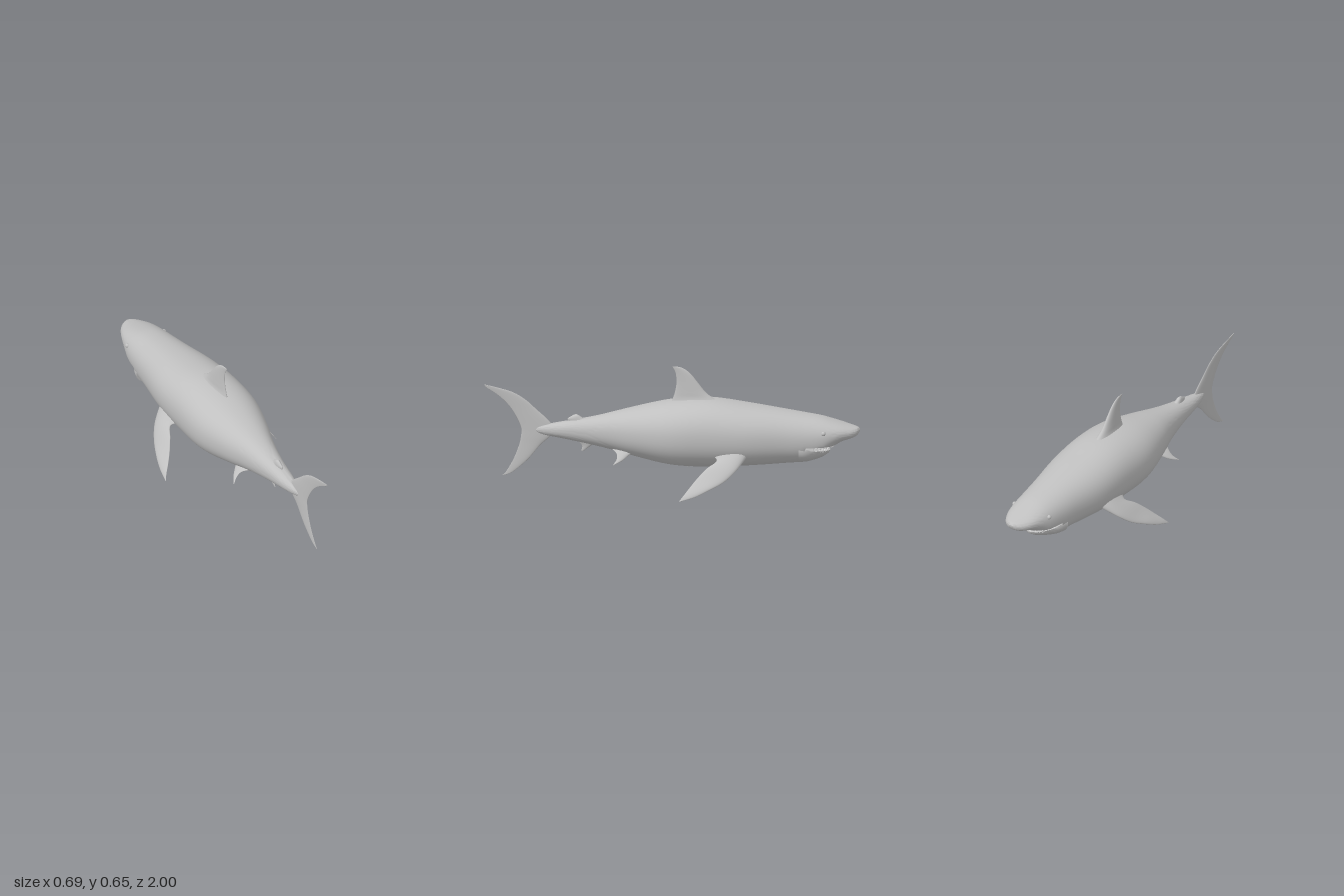
import * as THREE from 'three';
import { toCreasedNormals } from 'three/addons/utils/BufferGeometryUtils.js';

const skin = new THREE.MeshStandardMaterial({ color: 0xc0c0c0 });
skin.name = 'grey skin';
const enamel = new THREE.MeshStandardMaterial({ color: 0xeeeeee });
enamel.name = 'white enamel';

// Smooth interpolation of table rows; keys are the row parameters.
function table(keys, rows) {
  const f = new THREE.CubicInterpolant(keys, rows.flat(), rows[0].length);
  return (t) => Array.from(f.evaluate(t));
}

// Skin over closed rings (counter-clockwise seen from the far end), capped at both ends.
function loft(rings) {
  const n = rings[0].length, pos = [], idx = [];
  rings.forEach((r) => r.forEach((p) => pos.push(p.x, p.y, p.z)));
  for (let i = 0; i < rings.length - 1; i++) {
    for (let j = 0; j < n; j++) {
      const k = (j + 1) % n, a = i * n + j, b = i * n + k, c = a + n, d = b + n;
      idx.push(a, b, d, a, d, c);
    }
  }
  [0, rings.length - 1].forEach((i) => {
    const mid = new THREE.Vector3();
    rings[i].forEach((p) => mid.addScaledVector(p, 1 / n));
    const m = pos.length / 3;
    pos.push(mid.x, mid.y, mid.z);
    for (let j = 0; j < n; j++) {
      const a = i * n + j, b = i * n + ((j + 1) % n);
      if (i === 0) idx.push(m, b, a); else idx.push(m, a, b);
    }
  });
  const g = new THREE.BufferGeometry();
  g.setAttribute('position', new THREE.Float32BufferAttribute(pos, 3));
  g.setIndex(idx);
  g.computeVertexNormals();
  return g;
}

// Rounded cross-section at z, limited to a height range.
function section(z, w, top, bottom, low = -9, high = 9) {
  const ring = [], n = 56, cy = (top + bottom) / 2, h = (top - bottom) / 2;
  const bulge = (v) => Math.sign(v) * Math.abs(v) ** 0.9;
  for (let j = 0; j < n; j++) {
    const a = (j / n) * Math.PI * 2;
    const y = cy + h * bulge(Math.sin(a));
    ring.push(new THREE.Vector3(Math.max(w, 0.001) * bulge(Math.cos(a)), Math.min(high, Math.max(low, y)), z));
  }
  return ring;
}

// Fin from rows of [lead xyz, trail xyz, half thickness], running root to tip.
function fin(rows, side = 1) {
  const at = table(rows.map((r, i) => i), rows);
  const lead = (r) => new THREE.Vector3(r[0] * side, r[1], r[2]);
  const trail = (r) => new THREE.Vector3(r[3] * side, r[4], r[5]);
  const mid = (r) => lead(r).add(trail(r)).multiplyScalar(0.5);
  const span = mid(rows[rows.length - 1]).sub(mid(rows[0]));
  const normal = span.cross(trail(rows[0]).sub(lead(rows[0]))).normalize();
  const rings = [], steps = (rows.length - 1) * 5, n = 24;
  for (let i = 0; i <= steps; i++) {
    const r = at(i / 5), m = mid(r), chord = trail(r).sub(lead(r)).multiplyScalar(0.5);
    const ring = [];
    for (let j = 0; j < n; j++) {
      const a = (j / n) * Math.PI * 2, c = Math.cos(a);
      ring.push(m.clone().addScaledVector(chord, c)
        .addScaledVector(normal, r[6] * Math.sin(a) * (1 - 0.35 * c)));
    }
    rings.push(ring);
  }
  return loft(rings);
}

// Upright fin on the centre line from rows of [y, lead z, trail z, half thickness].
const centreFin = (rows) => fin(rows.map(([y, l, t, h]) => [0, y, l, 0, y, t, h]));

export function createModel() {
  const group = new THREE.Group();
  const add = (name, geometry, material = skin) => {
    const mesh = new THREE.Mesh(geometry, material);
    mesh.name = name;
    group.add(mesh);
    return mesh;
  };

  // Body: z, half width, top, bottom
  const bodyRows = [
    [-1, 0.004, 0.325, 0.315], [-0.99, 0.03, 0.332, 0.297], [-0.97, 0.055, 0.338, 0.282],
    [-0.94, 0.076, 0.346, 0.272], [-0.9, 0.095, 0.358, 0.258], [-0.85, 0.112, 0.373, 0.222],
    [-0.8, 0.125, 0.387, 0.175], [-0.7, 0.141, 0.404, 0.147], [-0.6, 0.155, 0.42, 0.137],
    [-0.4, 0.189, 0.45, 0.122], [-0.2, 0.198, 0.475, 0.112], [0, 0.193, 0.462, 0.12],
    [0.2, 0.14, 0.42, 0.162], [0.3, 0.105, 0.395, 0.187], [0.4, 0.078, 0.37, 0.21],
    [0.5, 0.057, 0.35, 0.23], [0.6, 0.042, 0.332, 0.249], [0.67, 0.026, 0.318, 0.261],
    [0.71, 0.013, 0.306, 0.272], [0.735, 0.002, 0.292, 0.285],
  ];
  const body = table(bodyRows.map((r) => r[0]), bodyRows.map((r) => r.slice(1)));
  const stations = [-0.717, -0.712];
  bodyRows.forEach(([z], i) => {
    const next = bodyRows[i + 1];
    for (let k = 0; next && k < 4; k++) stations.push(z + ((next[0] - z) * k) / 4);
  });
  stations.push(0.735);
  stations.sort((a, b) => a - b);
  // The snout is cut level along the roof of the mouth.
  const roof = 0.247;
  const bodyRings = stations.map((z) => section(z, ...body(z), z < -0.715 ? roof : -9));
  add('body', toCreasedNormals(loft(bodyRings), 0.9));

  // Lower jaw: z, half width, bottom, upper edge
  const jawRows = [
    [-0.842, 0.008, 0.203, 0.208], [-0.835, 0.035, 0.193, 0.211], [-0.82, 0.06, 0.182, 0.214],
    [-0.8, 0.08, 0.171, 0.217], [-0.76, 0.108, 0.158, 0.223], [-0.72, 0.13, 0.149, 0.238],
    [-0.68, 0.141, 0.146, 0.245],
  ];
  const jaw = table(jawRows.map((r) => r[0]), jawRows.map((r) => r.slice(1)));
  const jawRings = [];
  for (let i = 0; i <= 24; i++) {
    const z = -0.842 + 0.162 * (i / 24) ** 1.5;
    const [w, bottom, edge] = jaw(z);
    jawRings.push(section(z, w, 0.3, bottom, -9, edge));
  }
  add('lowerJaw', toCreasedNormals(loft(jawRings), 0.9));

  // Teeth along both jaw arcs
  const toothRow = (name, count, width, back, front, y, length) => {
    const row = new THREE.Group();
    row.name = name;
    const cone = new THREE.ConeGeometry(0.007, Math.abs(length), 6);
    for (let i = 0; i < count; i++) {
      const a = Math.PI * (0.06 + (0.88 * i) / (count - 1));
      const tooth = new THREE.Mesh(cone, enamel);
      tooth.name = 'tooth';
      tooth.position.set(width * Math.cos(a), y + length / 2, back + (front - back) * Math.sin(a));
      if (length < 0) tooth.rotation.x = Math.PI;
      row.add(tooth);
    }
    group.add(row);
  };
  toothRow('upperTeeth', 19, 0.106, -0.735, -0.862, 0.25, -0.026);
  toothRow('lowerTeeth', 15, 0.092, -0.74, -0.83, 0.208, 0.02);

  // Fins on the centre line
  add('dorsalFin', centreFin([
    [0.43, -0.29, 0.01, 0.045], [0.475, -0.225, -0.005, 0.024], [0.51, -0.18, -0.016, 0.018],
    [0.56, -0.14, -0.024, 0.013], [0.61, -0.1, -0.02, 0.008], [0.64, -0.06, -0.007, 0.004],
    [0.65, -0.022, 0, 0.001],
  ]));
  add('secondDorsalFin', centreFin([
    [0.33, 0.42, 0.545, 0.018], [0.352, 0.465, 0.555, 0.014], [0.368, 0.49, 0.532, 0.01],
    [0.376, 0.503, 0.518, 0.003],
  ]));
  add('analFin', centreFin([
    [0.235, 0.38, 0.505, 0.014], [0.205, 0.43, 0.478, 0.007], [0.176, 0.47, 0.482, 0.001],
  ]));
  add('tailFin', centreFin([
    [0.532, 0.995, 1, 0.001], [0.515, 0.92, 0.985, 0.002], [0.49, 0.84, 0.945, 0.003],
    [0.45, 0.775, 0.895, 0.004], [0.4, 0.72, 0.852, 0.005], [0.34, 0.655, 0.818, 0.007],
    [0.29, 0.625, 0.8, 0.008], [0.25, 0.65, 0.803, 0.007], [0.205, 0.7, 0.812, 0.005],
    [0.125, 0.765, 0.842, 0.004], [0.055, 0.845, 0.882, 0.002], [0.036, 0.89, 0.9, 0.001],
  ]));

  // Paired parts
  const pectoral = [
    [0.14, 0.215, -0.42, 0.14, 0.215, -0.2, 0.036], [0.188, 0.18, -0.39, 0.195, 0.19, -0.25, 0.02],
    [0.235, 0.138, -0.35, 0.23, 0.155, -0.2, 0.014], [0.275, 0.09, -0.29, 0.265, 0.108, -0.15, 0.011],
    [0.31, 0.052, -0.21, 0.3, 0.063, -0.11, 0.008], [0.331, 0.022, -0.14, 0.33, 0.028, -0.08, 0.004],
    [0.345, 0.002, -0.065, 0.345, 0.002, -0.058, 0.001],
  ];
  const pelvic = [
    [0.045, 0.205, 0.18, 0.045, 0.21, 0.325, 0.016], [0.09, 0.18, 0.225, 0.09, 0.19, 0.29, 0.008],
    [0.12, 0.158, 0.257, 0.12, 0.165, 0.287, 0.005], [0.148, 0.14, 0.302, 0.148, 0.14, 0.305, 0.001],
  ];
  [[1, 'left'], [-1, 'right']].forEach(([side, label]) => {
    add(label + 'PectoralFin', fin(pectoral, side));
    add(label + 'PelvicFin', fin(pelvic, side));
    add(label + 'Eye', new THREE.SphereGeometry(0.012, 16, 12)).position.set(side * 0.114, 0.323, -0.812);
  });
  return group;
}
